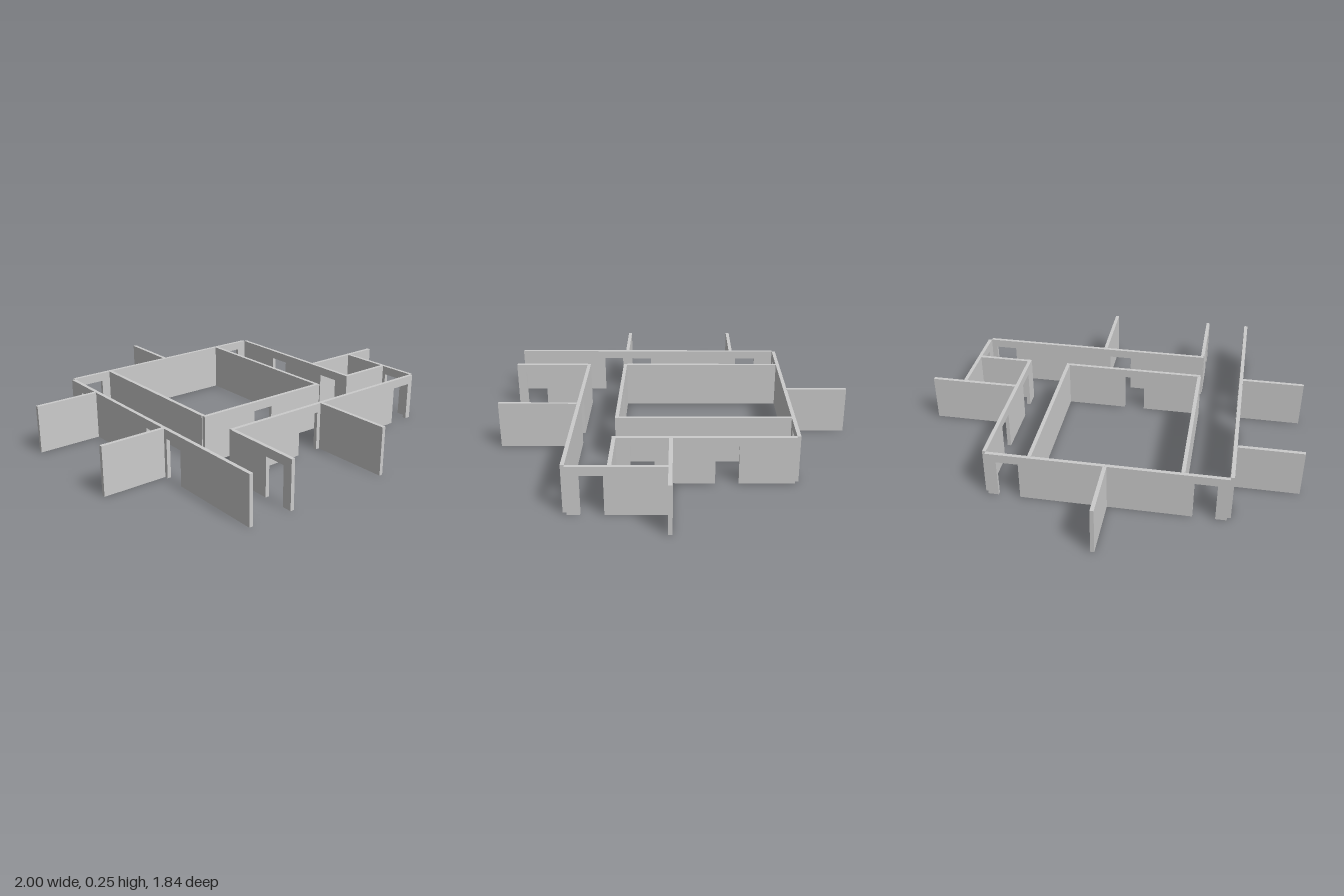
import * as THREE from 'three';

const HEIGHT = 0.245, DOOR_HEIGHT = 0.2, THICK = 0.019;

// Wall elevation from a to b along its length, notched at the floor by doorways [from, to]
function wallGeometry(a, b, doors) {
  const shape = new THREE.Shape();
  shape.moveTo(a, 0);
  for (const [from, to] of doors) {
    shape.lineTo(from, 0);
    shape.lineTo(from, DOOR_HEIGHT);
    shape.lineTo(to, DOOR_HEIGHT);
    shape.lineTo(to, 0);
  }
  shape.lineTo(b, 0);
  shape.lineTo(b, HEIGHT);
  shape.lineTo(a, HEIGHT);
  const geo = new THREE.ExtrudeGeometry(shape, { depth: THICK, bevelEnabled: false });
  return geo.translate(0, 0, -THICK / 2);
}

// Walls running left to right: name, z, x start, x end, doorways
const crossWalls = [
  ['backWall', -0.59, -0.655, 0.522, [[-0.6, -0.49], [0.36, 0.47]]],
  ['courtFrontWall', 0.292, -0.44, 0.315, [[-0.13, -0.02]]],
  ['frontWall', 0.502, -0.44, 0.815, [[-0.02, 0.1], [0.67, 0.785]]],
  ['closetFrontWall', 0.292, 0.54, 0.815, []],
  ['closetBackWall', 0.02, 0.54, 1, []],
  ['sideRoomBackDivider', -0.33, -1, -0.674, []],
  ['sideRoomFrontDivider', 0.292, -1, -0.674, []],
];

// Walls running back to front: name, x, z start, z end, doorways
const longWalls = [
  ['rightCorridorWall', -0.664, -0.58, 0.92, [[-0.475, -0.36], [0.15, 0.265], [0.32, 0.43]]],
  ['courtRightWall', -0.434, -0.58, 0.282, []],
  ['courtLeftWall', 0.306, -0.58, 0.282, []],
  ['leftCorridorWall', 0.531, -0.58, 0.302, [[-0.307, -0.193], [0.1, 0.215]]],
  ['closetLeftWall', 0.824, 0.03, 0.492, [[0.32, 0.43]]],
  ['frontRoomRightWall', -0.434, 0.512, 0.92, [[0.755, 0.87]]],
  ['frontRoomDivider', 0.13, 0.512, 0.92, []],
  ['backRoomDivider', -0.065, -0.92, -0.6, []],
];

export function createModel() {
  const model = new THREE.Group();
  model.name = 'floorPlanWalls';
  const material = new THREE.MeshStandardMaterial({ color: 0xcccccc });

  const add = (name, geometry) => {
    const mesh = new THREE.Mesh(geometry, material);
    mesh.name = name;
    model.add(mesh);
    return mesh;
  };

  for (const [name, z, a, b, doors] of crossWalls) {
    add(name, wallGeometry(a, b, doors)).position.z = z;
  }
  // Turned so the wall's length runs along +z
  for (const [name, x, a, b, doors] of longWalls) {
    const mesh = add(name, wallGeometry(a, b, doors));
    mesh.rotation.y = -Math.PI / 2;
    mesh.position.x = x;
  }
  return model;
}
